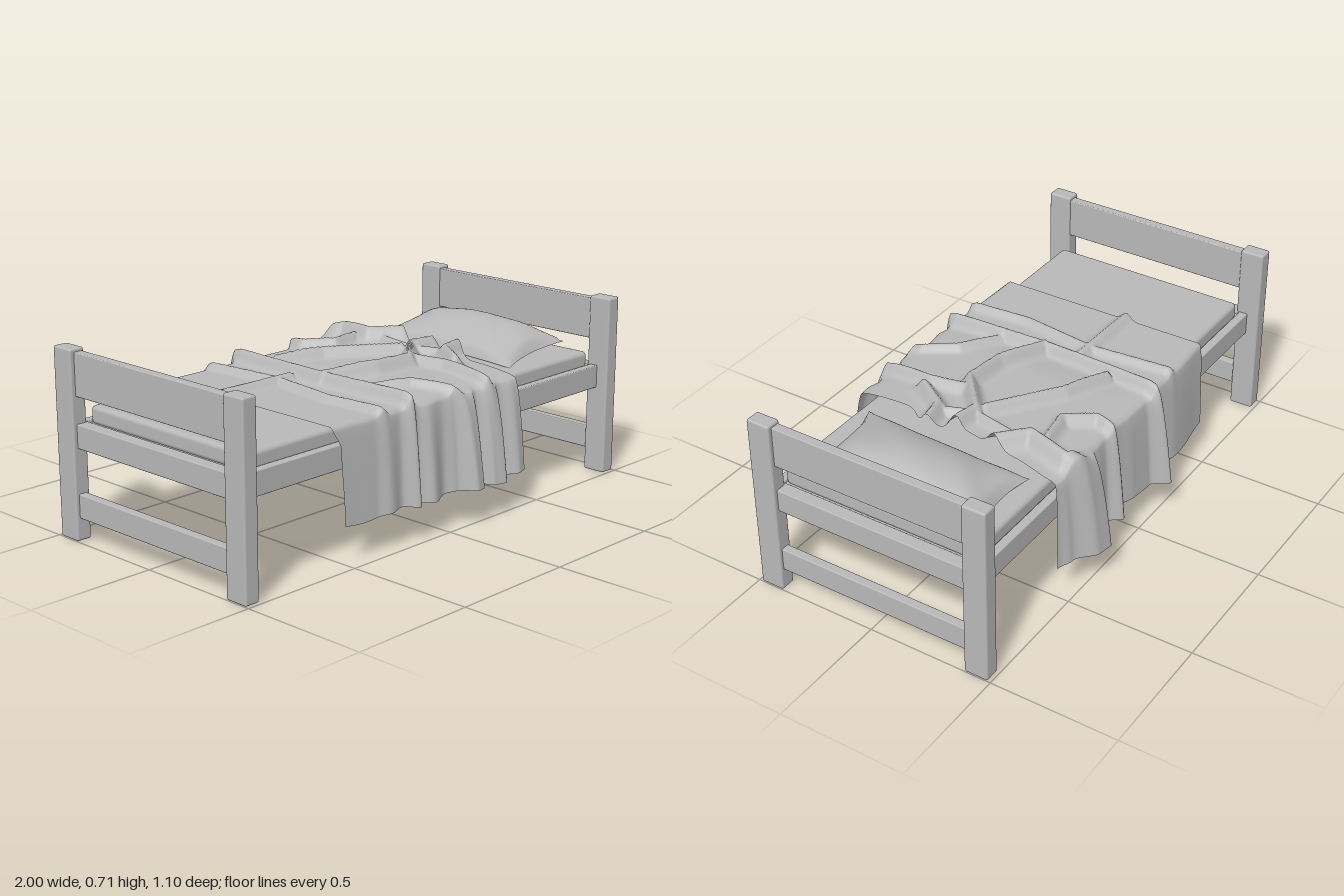
import * as THREE from 'three';
import { RoundedBoxGeometry } from 'three/addons/geometries/RoundedBoxGeometry.js';

// Piecewise-linear lookup in a list of [key, value] pairs
function lookup(points, k) {
  if (k <= points[0][0]) return points[0][1];
  for (let i = 1; i < points.length; i++) {
    const [a, va] = points[i - 1], [b, vb] = points[i];
    if (k <= b) {
      const t = (k - a) / (b - a);
      return va + (vb - va) * t * t * (3 - 2 * t);
    }
  }
  return points[points.length - 1][1];
}

// Grid surface from a function of (u, v), both running 0..1
function gridSurface(nu, nv, at) {
  const pos = [], index = [];
  for (let j = 0; j <= nv; j++)
    for (let i = 0; i <= nu; i++) pos.push(...at(i / nu, j / nv));
  for (let j = 0; j < nv; j++)
    for (let i = 0; i < nu; i++) {
      const a = j * (nu + 1) + i, b = a + 1, c = a + nu + 1, d = c + 1;
      index.push(a, c, b, b, c, d);
    }
  const g = new THREE.BufferGeometry();
  g.setAttribute('position', new THREE.Float32BufferAttribute(pos, 3));
  g.setIndex(index);
  g.computeVertexNormals();
  return g;
}

// Distance from a point to a polyline on the bed top
function pathDistance(path, x, z) {
  let best = Infinity;
  for (let i = 1; i < path.length; i++) {
    const [ax, az] = path[i - 1], dx = path[i][0] - ax, dz = path[i][1] - az;
    const t = THREE.MathUtils.clamp(((x - ax) * dx + (z - az) * dz) / (dx * dx + dz * dz), 0, 1);
    best = Math.min(best, Math.hypot(x - ax - t * dx, z - az - t * dz));
  }
  return best;
}

// Creases lying on top of the blanket: height, half width, path of [x, z]
const creases = [
  [0.05, 0.022, [[-0.16, -0.5], [-0.17, -0.25], [-0.18, 0], [-0.17, 0.25], [-0.16, 0.5]]],
  [0.025, 0.02, [[-0.31, -0.45], [-0.28, -0.1], [-0.32, 0.2], [-0.3, 0.45]]],
  [0.03, 0.025, [[-0.55, -0.11], [-0.22, -0.1]]],
  [0.055, 0.025, [[-0.18, 0.03], [0.02, 0.11], [0.18, 0.13], [0.33, 0], [0.43, 0.02]]],
  [0.045, 0.02, [[-0.13, -0.27], [0.05, -0.2], [0.3, -0.02]]],
  [0.04, 0.02, [[0.22, 0.1], [0.25, 0.25], [0.24, 0.45]]],
  [0.04, 0.022, [[0.14, -0.5], [0.12, -0.38], [0.2, -0.28], [0.33, -0.3]]],
  [0.06, 0.035, [[0.29, -0.5], [0.4, -0.42], [0.36, -0.25], [0.46, -0.16]]],
  [0.05, 0.028, [[0.48, 0.11], [0.38, 0.13], [0.3, 0.25]]],
  [0.03, 0.02, [[-0.17, 0.2], [0, 0.3], [0.08, 0.45]]],
  [0.03, 0.02, [[0.38, -0.2], [0.34, 0], [0.38, 0.1]]],
];

// How far the hem stands out along x, at the front and at the back
const frontHem = [[-0.55, 0.455], [-0.35, 0.465], [-0.29, 0.485], [-0.22, 0.465], [-0.17, 0.51],
  [-0.13, 0.465], [-0.08, 0.5], [0, 0.47], [0.05, 0.49], [0.1, 0.55], [0.14, 0.54], [0.18, 0.485],
  [0.22, 0.53], [0.27, 0.54], [0.31, 0.48], [0.37, 0.52], [0.41, 0.51]];
const backHem = [[-0.55, 0.455], [-0.3, 0.48], [-0.2, 0.465], [-0.15, 0.55], [-0.1, 0.485], [0, 0.48],
  [0.1, 0.46], [0.14, 0.515], [0.18, 0.47], [0.25, 0.48], [0.29, 0.55], [0.36, 0.545], [0.45, 0.485], [0.51, 0.46]];

// Blanket ends along x, keyed by position across the bed (-1 back hem, 1 front hem)
const headEdge = [[-1, 0.51], [-0.55, 0.5], [-0.3, 0.47], [0, 0.43], [0.14, 0.48], [0.32, 0.41], [1, 0.41]];
const footEdge = [[-1, -0.55], [0.55, -0.545], [0.65, -0.51], [1, -0.5]];

function blanketPoint(u, v) {
  const s = v * 2 - 1, side = Math.sign(s), fold = 0.55;
  const x = THREE.MathUtils.lerp(lookup(footEdge, s), lookup(headEdge, s), u);
  const t = Math.max(0, (Math.abs(s) - fold) / (1 - fold));
  const zTop = THREE.MathUtils.clamp(s / fold, -1, 1) * 0.43;
  let lift = 0;
  for (const [h, w, path] of creases)
    lift = Math.max(lift, h * Math.exp(-((pathDistance(path, x, zTop) / w) ** 2)));
  const puff = 0.018 * THREE.MathUtils.smoothstep(x, -0.2, 0);
  const top = 0.502 + puff * (1 - (zTop / 0.43) ** 4) + lift;
  if (t === 0) return [x, top, zTop];
  const out = lookup(side > 0 ? frontHem : backHem, x);
  const hem = 0.14 + 0.006 * Math.sin(x * 19);
  const z = 0.43 + (out - 0.43) * (0.75 * t ** 0.25 + 0.25 * t);
  return [x, top + (hem - top) * t, side * z];
}

// Pillow outline with pulled-out corners; the sheet bulges upward, or lies flat below
function pillowPoint(u, v, bulge) {
  const a = u * 2 - 1, b = v * 2 - 1;
  const xFoot = THREE.MathUtils.lerp(0.52, 0.49, v), xHead = THREE.MathUtils.lerp(0.88, 0.89, v);
  const zBack = THREE.MathUtils.lerp(-0.35, -0.39, u), zFront = THREE.MathUtils.lerp(0.36, 0.31, u);
  const x = THREE.MathUtils.lerp(xFoot, xHead, u) - a * 0.025 * (1 - b * b);
  const z = THREE.MathUtils.lerp(zBack, zFront, v) - b * 0.03 * (1 - a * a);
  const round = Math.sqrt((1 - a * a) * (1 - b * b));
  const wrinkle = 0.006 * Math.sin(b * 9 + a * 4) * round * Math.abs(b);
  const y = 0.495 + 0.025 * u + bulge * round * (0.9 + 0.2 * a) + (bulge > 0 ? wrinkle : 0);
  return [x, y, z];
}

export function createModel() {
  const model = new THREE.Group();
  model.name = 'bed';
  const grey = new THREE.MeshStandardMaterial({ color: 0xb8b8b8, side: THREE.DoubleSide });
  grey.name = 'plain grey';

  const add = (name, geometry) => {
    const mesh = new THREE.Mesh(geometry, grey);
    mesh.name = name;
    model.add(mesh);
    return mesh;
  };
  // Box between two corners, with slightly eased edges
  const block = (name, x0, x1, y0, y1, z0, z1, r = 0.004) =>
    add(name, new RoundedBoxGeometry(x1 - x0, y1 - y0, z1 - z0, 2, r))
      .position.set((x0 + x1) / 2, (y0 + y1) / 2, (z0 + z1) / 2);

  // Head and foot frames: two posts and three boards each
  for (const [end, sx] of [['head', 1], ['foot', -1]]) {
    const span = (a, b) => (sx > 0 ? [a, b] : [-b, -a]);
    for (const sz of [1, -1]) {
      const [z0, z1] = sz > 0 ? [0.393, 0.488] : [-0.488, -0.393];
      block(end + 'Post', ...span(0.938, 1), 0, 0.71, z0, z1, 0.008);
    }
    block(end + 'TopBoard', ...span(0.945, 0.982), 0.537, 0.698, -0.4, 0.4);
    block(end + 'MiddleRail', ...span(0.93, 0.982), 0.345, 0.435, -0.4, 0.4);
    block(end + 'LowerRail', ...span(0.95, 0.985), 0.085, 0.176, -0.4, 0.4);
  }

  // Side rails and the closed base between them
  block('frontSideRail', -0.945, 0.945, 0.345, 0.435, 0.405, 0.44);
  block('backSideRail', -0.945, 0.945, 0.345, 0.435, -0.44, -0.405);
  block('base', -0.94, 0.94, 0.345, 0.425, -0.41, 0.41);

  // Mattress
  block('mattress', -0.912, 0.92, 0.42, 0.49, -0.405, 0.405, 0.018);

  // Bedding
  add('blanket', gridSurface(130, 150, blanketPoint));
  add('pillowTop', gridSurface(28, 36, (u, v) => pillowPoint(u, v, 0.104)));
  add('pillowUnderside', gridSurface(28, 36, (u, v) => pillowPoint(1 - u, v, -0.02)));

  return model;
}
